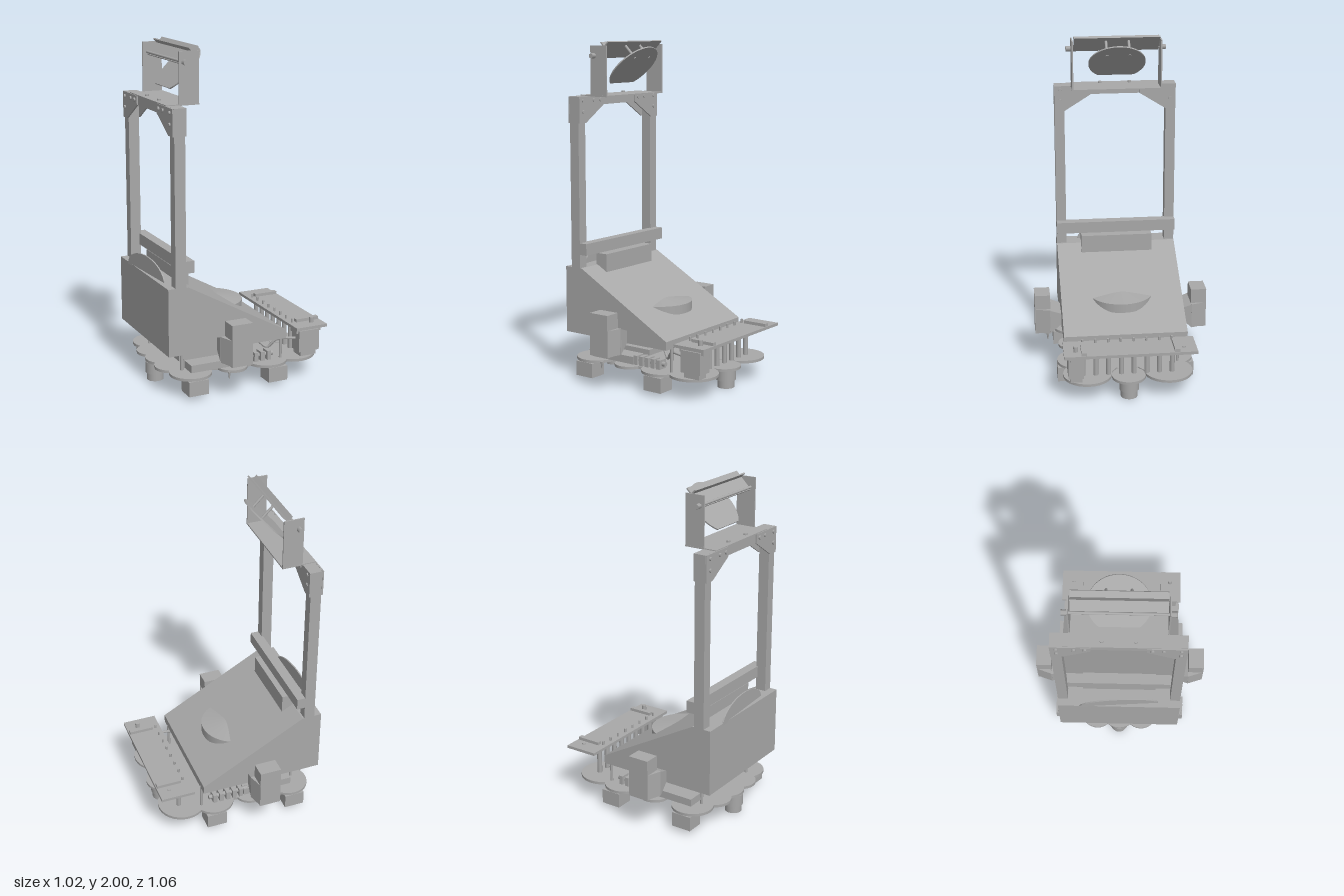
import * as THREE from 'three';

export function createModel() {
  const root = new THREE.Group();
  const grey = new THREE.MeshStandardMaterial({ color: 0xa8a8a8 });
  grey.name = 'grey';
  const add = (name, geo, parent = root) => {
    const m = new THREE.Mesh(geo, grey);
    m.name = name;
    parent.add(m);
    return m;
  };
  // box given by its limits on each axis
  const box = (name, x0, x1, y0, y1, z0, z1, parent) => {
    const m = add(name, new THREE.BoxGeometry(x1 - x0, y1 - y0, z1 - z0), parent);
    m.position.set((x0 + x1) / 2, (y0 + y1) / 2, (z0 + z1) / 2);
    return m;
  };
  // upright cylinder
  const post = (name, x, z, y0, y1, r, n = 16, rTop = r) => {
    const m = add(name, new THREE.CylinderGeometry(rTop, r, y1 - y0, n), root);
    m.position.set(x, (y0 + y1) / 2, z);
    return m;
  };
  const shapeOf = pts => new THREE.Shape(pts.map(p => new THREE.Vector2(...p)));
  // outline in z,y pushed along x
  const slabX = (name, pts, x0, x1) => {
    const m = add(name, new THREE.ExtrudeGeometry(shapeOf(pts.map(([z, y]) => [-z, y])), { depth: x1 - x0, bevelEnabled: false }));
    m.rotation.y = Math.PI / 2;
    m.position.x = x0;
    return m;
  };
  // solid between two rectangles [x0,x1,y0,y1] at two z values
  const frustum = (name, a, za, b, zb) => {
    const g = new THREE.BoxGeometry(1, 1, 1);
    const p = g.attributes.position;
    for (let i = 0; i < p.count; i++) {
      const far = p.getZ(i) > 0, r = far ? b : a;
      p.setXYZ(i, r[p.getX(i) > 0 ? 1 : 0], r[p.getY(i) > 0 ? 3 : 2], far ? zb : za);
    }
    const flat = g.toNonIndexed();
    flat.computeVertexNormals();
    return add(name, flat);
  };

  // wedge body
  const body = new THREE.ExtrudeGeometry(
    shapeOf([[-0.51, 0.27], [0.24, 0.27], [0.24, 0.32], [-0.39, 0.67], [-0.51, 0.67]]),
    { depth: 0.74, bevelEnabled: false });
  add('body', body).position.z = -0.37;

  // shallow round cap emerging from the slope
  const cap = add('slopeCap', new THREE.CylinderGeometry(0.2, 0.2, 0.055, 48, 1, true));
  cap.position.set(-0.092, 0.428, 0);
  const capTop = add('slopeCapTop', new THREE.ConeGeometry(0.2, 0.027, 48, 1, true));
  capTop.position.set(-0.092, 0.469, 0);

  // blocks and bars at the head of the slope
  box('slopeBlock', -0.40, -0.32, 0.62, 0.74, -0.22, 0.22);
  box('lowerCrossbar', -0.41, -0.35, 0.75, 0.82, -0.37, 0.37);
  const dome = [];
  for (let i = 0; i <= 16; i++) {
    const a = Math.PI * i / 16;
    dome.push([0.24 * Math.cos(a), 0.66 + 0.11 * Math.sin(a)]);
  }
  slabX('backFin', dome, -0.497, -0.489).rotation.y += 0.07;

  // tall frame with corner plates and bolts
  box('topBar', -0.465, -0.40, 1.63, 1.685, -0.37, 0.37);
  for (const s of [-1, 1]) {
    box('framePost', -0.465, -0.40, 0.66, 1.685, s > 0 ? 0.31 : -0.37, s > 0 ? 0.37 : -0.31);
    for (const x of [-0.475, -0.40]) {
      slabX('cornerPlate', [[0.37, 1.685], [0.15, 1.685], [0.15, 1.63], [0.31, 1.53], [0.37, 1.53]]
        .map(([z, y]) => [s * z, y]), x, x + 0.009);
    }
    for (const [z, y] of [[0.335, 1.66], [0.335, 1.595], [0.24, 1.66], [0.18, 1.66]]) {
      const bolt = post('cornerBolt', -0.435, s * z, y - 0.05, y + 0.05, 0.011, 10);
      bolt.rotation.z = Math.PI / 2;
    }
    post('bracketBolt', -0.435, s * 0.09, 1.68, 1.7, 0.011, 10);

    // side cheeks of the head bracket
    box('bracketCheek', -0.39, -0.27, 1.685, 1.98, s * 0.265 - 0.004, s * 0.265 + 0.004);
    const knob = post('pivotKnob', -0.36, s * 0.285, 1.905, 1.935, 0.016, 6);
    knob.rotation.x = Math.PI / 2;
  }
  box('bracketFloor', -0.47, -0.27, 1.682, 1.69, -0.27, 0.27);
  const shaft = post('pivotShaft', -0.36, 0, 1.62, 2.22, 0.008, 12);
  shaft.rotation.x = Math.PI / 2;

  // tilted head: strip, stand-offs and trimmed disc
  const head = new THREE.Group();
  head.name = 'tiltedHead';
  head.position.set(-0.28, 1.845, 0);
  head.rotation.z = Math.PI / 4;
  root.add(head);
  const disc = new THREE.Shape();
  disc.absarc(0, 0, 0.17, -2.45, 2.45, false);
  const discMesh = add('disc', new THREE.ExtrudeGeometry(disc, { depth: 0.008, bevelEnabled: false, curveSegments: 40 }), head);
  discMesh.rotation.x = -Math.PI / 2;
  box('strip', -0.015, 0.12, 0.098, 0.106, -0.255, 0.255, head);
  box('stripLip', 0.074, 0.082, 0.1, 0.138, -0.255, 0.255, head);
  for (const z of [-0.07, 0.065]) {
    const rod = add('standOff', new THREE.CylinderGeometry(0.008, 0.008, 0.11, 10), head);
    rod.position.set(0.085, 0.05, z);
  }

  // side pods
  for (const s of [-1, 1]) {
    const wide = [-0.22, -0.035, 0.215, 0.37], narrow = [-0.19, -0.06, 0.21, 0.46];
    const neck = [-0.21, -0.045, 0.28, 0.34];
    const ends = (n, a, za, b, zb) => s > 0 ? frustum(n, a, za, b, zb) : frustum(n, b, -zb, a, -za);
    ends('podNeck', neck, 0.36, wide, 0.44);
    ends('podFlare', wide, 0.435, [-0.19, -0.06, 0.215, 0.37], 0.525);
    ends('podBlock', narrow, 0.435, narrow, 0.53);
  }

  // scalloped base plate
  post('basePlate', -0.03, 0, 0.113, 0.13, 0.33, 48);
  const lobes = [[-0.385, 0, 0.115], [0.385, 0, 0.1]];
  for (const s of [-1, 1]) {
    lobes.push([0.34, s * 0.24, 0.145], [0.15, s * 0.285, 0.125], [-0.08, s * 0.3, 0.09],
      [-0.34, s * 0.285, 0.125], [-0.4, s * 0.14, 0.1], [0.26, s * 0.15, 0.09]);
  }
  for (const [x, z, r] of lobes) post('baseLobe', x, z, 0.114, 0.13, r, 28);

  // feet: round ones fore and aft, square ones at the corners
  for (const x of [-0.445, 0.4]) {
    post('roundFoot', x, 0, 0, 0.06, 0.05, 24);
    post('roundFootCollar', x, 0, 0.045, 0.113, 0.058, 24);
  }
  for (const x of [-0.345, 0.165]) for (const s of [-1, 1]) {
    box('squareFoot', x - 0.058, x + 0.065, 0.025, 0.113, s * 0.355 - 0.055, s * 0.355 + 0.055);
  }

  // legs carrying the body
  for (const s of [-1, 1]) {
    post('rearLeg', -0.38, s * 0.25, 0.13, 0.27, 0.009, 10);
    post('frontLeg', 0.235, s * 0.31, 0.13, 0.28, 0.009, 10);
  }

  // mechanism on the plate
  box('gearBlock', -0.35, -0.06, 0.14, 0.175, -0.12, 0.14);
  box('gearCover', -0.28, -0.09, 0.175, 0.21, -0.1, 0.1);
  for (const s of [-1, 1]) {
    box('sideTray', -0.35, -0.04, 0.13, 0.175, s * 0.27 - 0.05, s * 0.27 + 0.05);
    const axle = post('axle', 0.06, s * 0.3, 0.04, 0.29, 0.014, 12);
    axle.rotation.z = Math.PI / 2;
    for (let i = 0; i < 5; i++) {
      box('axleBlock', -0.03 + i * 0.042, -0.005 + i * 0.042, 0.135, 0.19, s * 0.3 - 0.03, s * 0.3 + 0.03);
    }
  }

  // front board, its pillars, pads and motor
  box('frontBoard', 0.305, 0.51, 0.305, 0.322, -0.39, 0.385);
  for (let i = 0; i < 8; i++) {
    const z = -0.26 + i * 0.0755;
    post('boardPin', 0.335, z, 0.3, 0.345, 0.007, 8);
    post('boardPillar', 0.365, z, 0.13, 0.306, 0.015, 8);
  }
  for (const z of [-0.27, 0.27]) box('boardPad', 0.355, 0.505, 0.322, 0.34, z - 0.015, z + 0.015);
  post('boardKnob', 0.44, 0.315, 0.322, 0.355, 0.014, 12);
  post('boardScrew', 0.44, -0.315, 0.318, 0.327, 0.012, 12);
  box('motor', 0.335, 0.47, 0.16, 0.29, 0.27, 0.36);
  box('motorFlange', 0.32, 0.485, 0.275, 0.305, 0.28, 0.35);
  box('motorFoot', 0.35, 0.455, 0.13, 0.16, 0.28, 0.35);

  // loose cable between body and motor
  const path = new THREE.CatmullRomCurve3([[0.05, 0.28, 0.2], [0.12, 0.23, 0.23], [0.17, 0.19, 0.26],
    [0.22, 0.24, 0.29], [0.34, 0.235, 0.31]].map(p => new THREE.Vector3(...p)));
  add('cable', new THREE.TubeGeometry(path, 30, 0.008, 8));

  // small peg beside the plate
  post('peg', -0.17, 0.45, 0.115, 0.155, 0.003, 8, 0.008);
  return root;
}
